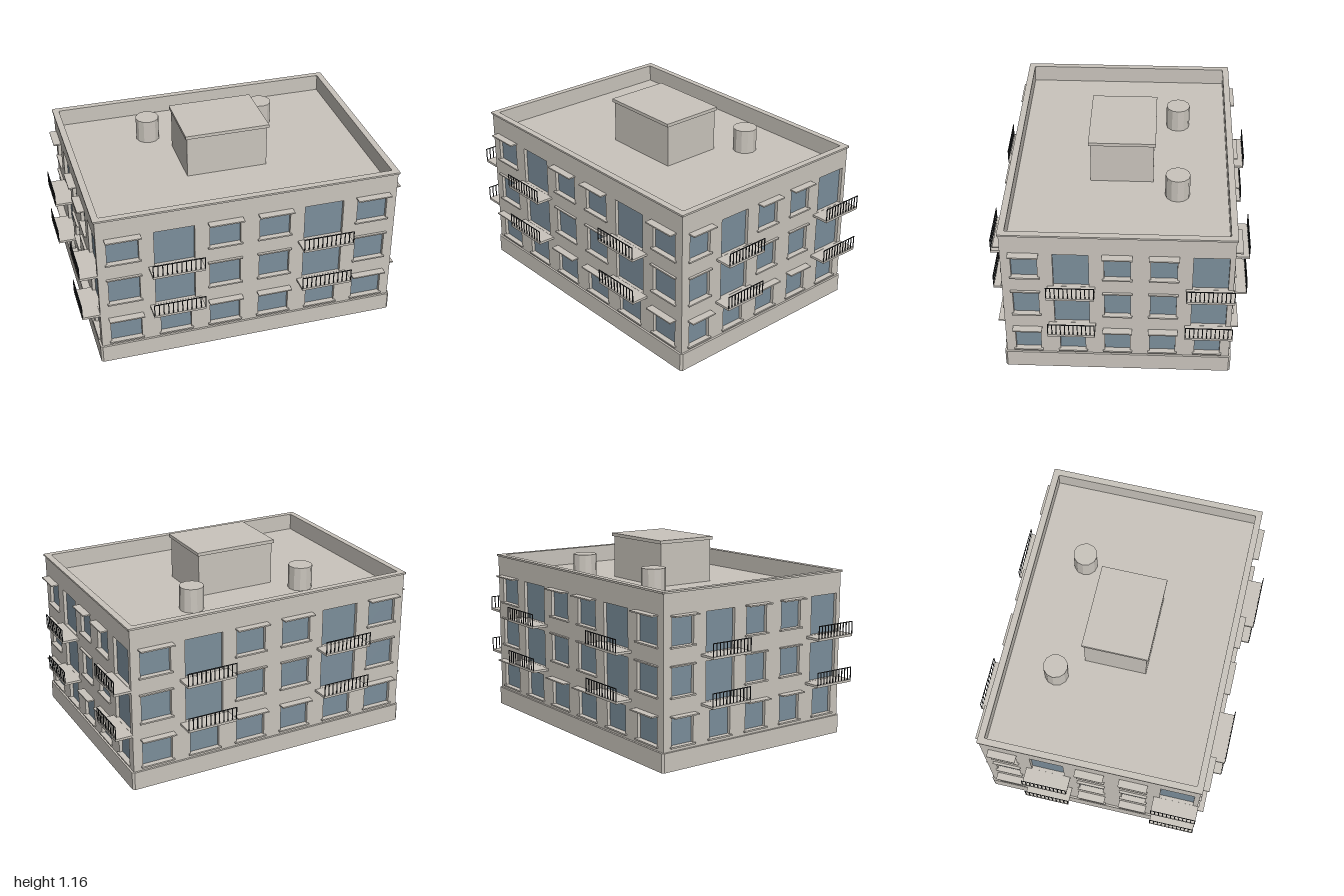
import * as THREE from 'three';

const mat = (name, color) => Object.assign(new THREE.MeshStandardMaterial({ color }), { name });

const HX = 0.895, HZ = 0.65;        // half size of the walls
const T = 0.027;                    // wall thickness
const BASE = 0.11, TOP = 0.985;     // wall bottom and top
const FLOOR = 0.276;                // storey height

export function createModel() {
  const plaster = mat('plaster', 0xc9c4bc);
  const glass = mat('glass', 0x7b8e9b);
  glass.side = THREE.DoubleSide;
  const iron = mat('iron', 0x2b2d2f);

  const model = new THREE.Group();
  model.name = 'apartmentBlock';

  const add = (parent, name, geometry, material, x = 0, y = 0, z = 0) => {
    const mesh = new THREE.Mesh(geometry, material);
    mesh.name = name;
    mesh.position.set(x, y, z);
    parent.add(mesh);
    return mesh;
  };
  const box = (parent, name, w, h, d, x, y, z, material = plaster) =>
    add(parent, name, new THREE.BoxGeometry(w, h, d), material, x, y, z);

  // Rectangular outline with cut corners
  const outline = (hx, hz, c) => [
    [hx - c, -hz], [hx, -hz + c], [hx, hz - c], [hx - c, hz],
    [-hx + c, hz], [-hx, hz - c], [-hx, -hz + c], [-hx + c, -hz],
  ].map(([x, y]) => new THREE.Vector2(x, y));

  // Hollow horizontal band around the building
  const band = (name, hx, hz, inset, y, height, cut) => {
    const shape = new THREE.Shape(outline(hx, hz, cut));
    shape.holes.push(new THREE.Path(outline(hx - inset, hz - inset, cut)));
    const geo = new THREE.ExtrudeGeometry(shape, { depth: height, bevelEnabled: false });
    add(model, name, geo.rotateX(-Math.PI / 2), plaster, 0, y, 0);
  };

  const rectangle = (Type, x0, x1, y0, y1) => new Type([
    new THREE.Vector2(x0, y0), new THREE.Vector2(x1, y0),
    new THREE.Vector2(x1, y1), new THREE.Vector2(x0, y1),
  ]);

  // Slab with a railing along its outer edge
  const balcony = (parent, x, y, width) => {
    const g = new THREE.Group();
    g.name = 'balcony';
    g.position.set(x, y, 0);
    parent.add(g);
    const out = 0.105, high = 0.074, bars = 12;
    box(g, 'balconySlab', width, 0.014, out, 0, 0.007, out / 2);
    box(g, 'handrail', width, 0.005, 0.004, 0, 0.014 + high, out - 0.002, iron);
    for (let i = 0; i < bars; i++) {
      const bx = (i / (bars - 1) - 0.5) * (width - 0.005);
      box(g, 'baluster', 0.005, high, 0.004, bx, 0.014 + high / 2, out - 0.002, iron);
    }
  };

  // One facade, built facing +z with its outer face on z = 0
  const facade = (name, bays, bayWidth, half, windowW, doorW, balconyW) => {
    const g = new THREE.Group();
    g.name = name;
    const wall = rectangle(THREE.Shape, -half, half, BASE, TOP);
    for (let floor = 0; floor < 3; floor++) {
      const lift = floor * FLOOR;
      for (let bay = 0; bay < bays; bay++) {
        const x = (bay - (bays - 1) / 2) * bayWidth;
        const balconyBay = bay === 1 || bay === bays - 2 + (bays % 2 ? 1 : 0);
        const door = balconyBay && floor > 0;
        const w = door ? doorW : windowW;
        const y0 = lift + (door ? 0.073 : 0.136);
        const y1 = lift + (balconyBay && floor === 0 ? 0.297 : 0.303);

        wall.holes.push(rectangle(THREE.Path, x - w / 2, x + w / 2, y0, y1));
        add(g, 'windowPane', new THREE.PlaneGeometry(w, y1 - y0), glass, x, (y0 + y1) / 2, -0.02);

        if (door) {
          balcony(g, x, lift + 0.058, balconyW);
        } else {
          box(g, 'windowSill', w + 0.022, 0.009, 0.033, x, y0 - 0.0045, -0.0035);
        }
        // Hood above plain windows, shallower on the middle floor
        if (!balconyBay) {
          const out = floor === 1 ? 0.015 : 0.045;
          box(g, 'windowHood', w + 0.022, 0.008, out, x, y1 + 0.002, out / 2);
        }
      }
    }
    const geo = new THREE.ExtrudeGeometry(wall, { depth: T, bevelEnabled: false });
    add(g, 'wall', geo, plaster, 0, 0, -T);
    model.add(g);
    return g;
  };

  // Four facades, turned around the building
  for (const [i, name] of ['frontFacade', 'leftFacade', 'backFacade', 'rightFacade'].entries()) {
    const long = i % 2 === 0;
    const g = long
      ? facade(name, 6, 2 * HX / 6, HX, 0.184, 0.237, 0.307)
      : facade(name, 5, 2 * HZ / 5, HZ - T, 0.147, 0.2, 0.27);
    const angle = i * Math.PI / 2;
    const dist = long ? HZ : HX;
    g.rotation.y = angle;
    g.position.set(Math.sin(angle) * dist, 0, Math.cos(angle) * dist);
  }

  // Plinth and parapet coping
  band('plinth', 0.907, 0.662, 0.016, 0, BASE, 0.012);
  band('parapetCoping', 0.904, 0.658, 0.038, 0.98, 0.011, 0.004);

  // Flat roof with stair house and two vents
  box(model, 'roof', 2 * (HX - T) + 0.004, 0.01, 2 * (HZ - T) + 0.004, 0, 0.88, 0);
  box(model, 'stairHouse', 0.49, 0.26, 0.37, 0, 1.012, 0);
  box(model, 'stairHouseCap', 0.51, 0.02, 0.392, 0, 1.15, 0);
  for (const side of [-1, 1]) {
    const vent = new THREE.CylinderGeometry(0.072, 0.072, 0.145, 12).toNonIndexed();
    vent.computeVertexNormals();
    add(model, 'roofVent', vent, plaster, side * 0.364, 0.9555, -0.328);
  }

  return model;
}
